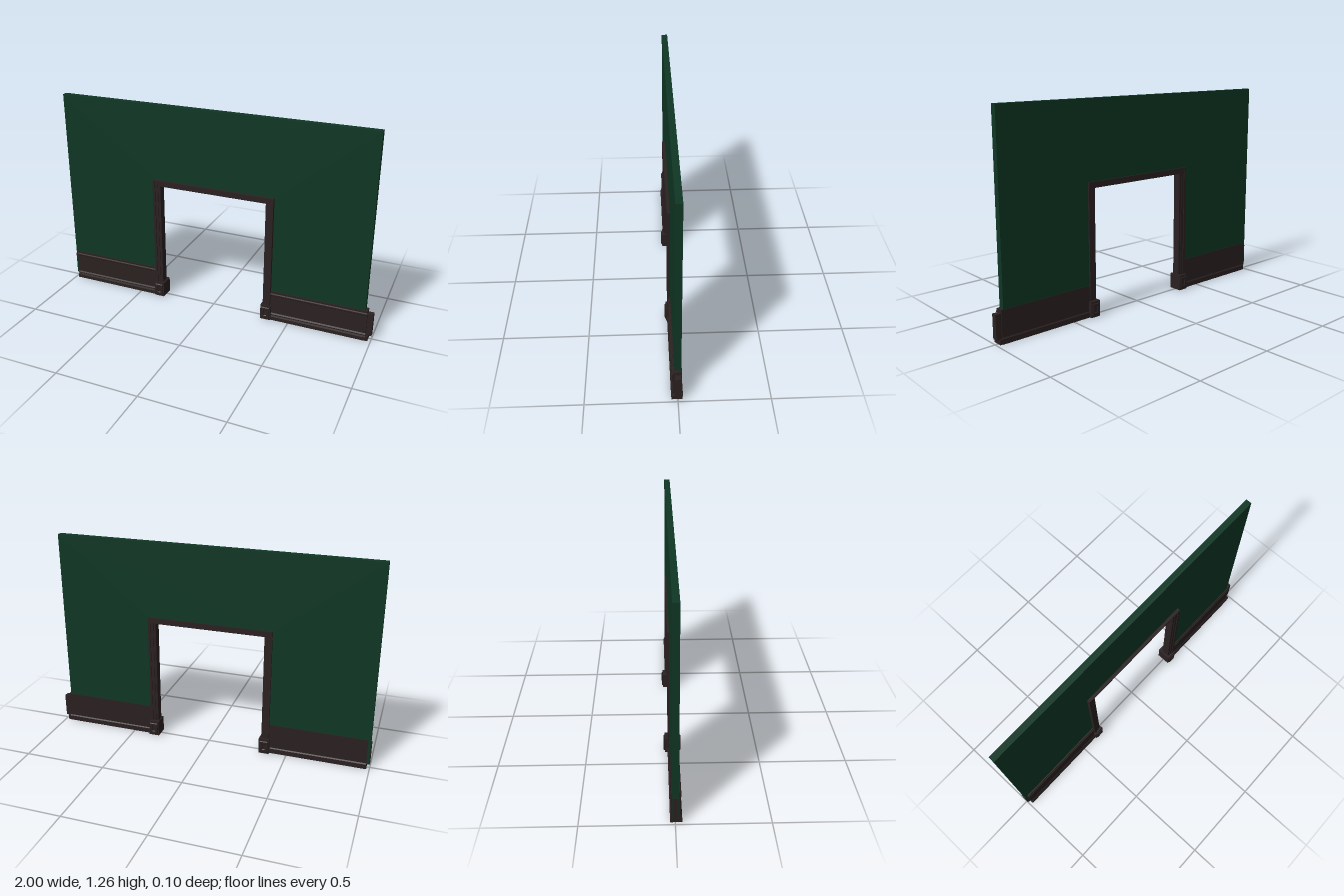
import * as THREE from 'three';

const wallPaint = new THREE.MeshStandardMaterial({ name: 'greenWallPaint', color: 0x0f3725 });
const wood = new THREE.MeshStandardMaterial({ name: 'darkWood', color: 0x2b2121 });

const CX = -0.003; // centre of the doorway

function polygon(points) {
  return new THREE.Shape(points.map(([x, y]) => new THREE.Vector2(x, y)));
}

// Extrude a front-plane shape between two depths
function slab(name, shape, z0, z1, material) {
  const geometry = new THREE.ExtrudeGeometry(shape, { depth: z1 - z0, bevelEnabled: false });
  geometry.translate(0, 0, z0);
  const mesh = new THREE.Mesh(geometry, material);
  mesh.name = name;
  return mesh;
}

function box(name, x0, x1, y0, y1, z0, z1) {
  const mesh = new THREE.Mesh(new THREE.BoxGeometry(x1 - x0, y1 - y0, z1 - z0), wood);
  mesh.position.set((x0 + x1) / 2, (y0 + y1) / 2, (z0 + z1) / 2);
  mesh.name = name;
  return mesh;
}

// Upside-down U band around the doorway
function archShape(outer, inner, topOuter, topInner, y0) {
  return polygon([
    [CX - outer, y0], [CX - inner, y0], [CX - inner, topInner], [CX + inner, topInner],
    [CX + inner, y0], [CX + outer, y0], [CX + outer, topOuter], [CX - outer, topOuter],
  ]);
}

// Moulding with a [z, y] cross-section running along x
function moulding(name, profile, x0, x1) {
  const geometry = new THREE.ExtrudeGeometry(polygon(profile.map(([z, y]) => [-z, y])),
    { depth: x1 - x0, bevelEnabled: false });
  geometry.rotateY(Math.PI / 2);
  geometry.translate(x0, 0, 0);
  const mesh = new THREE.Mesh(geometry, wood);
  mesh.name = name;
  return mesh;
}

function createPlinth(name, x) {
  const group = new THREE.Group();
  group.name = name;
  group.add(box('plinthBlock', x - 0.032, x + 0.032, 0, 0.096, -0.043, 0.043));
  // Raised bevelled frame on both faces
  const frame = polygon([[-0.022, 0.015], [0.022, 0.015], [0.022, 0.081], [-0.022, 0.081]]);
  frame.holes.push(new THREE.Path([[-0.011, 0.027], [-0.011, 0.069], [0.011, 0.069], [0.011, 0.027]]
    .map(([a, b]) => new THREE.Vector2(a, b))));
  for (const side of [1, -1]) {
    const geometry = new THREE.ExtrudeGeometry(frame, {
      depth: 0.002, bevelThickness: 0.004, bevelSize: 0.004, bevelSegments: 1,
    });
    const mesh = new THREE.Mesh(geometry, wood);
    mesh.name = 'plinthFrame';
    mesh.position.set(x, 0, side * 0.044);
    if (side < 0) mesh.rotation.y = Math.PI;
    group.add(mesh);
  }
  return group;
}

function createBaseboard(name, side) {
  const group = new THREE.Group();
  group.name = name;
  const span = (inner, outer) => [side * inner, side * outer].sort((a, b) => a - b);
  // Tongue that joins the next panel
  group.add(box('baseboardTongue', ...span(0.36, 1), 0.028, 0.17, -0.016, 0.016));
  // Stepped skirting with a foot at the bottom and a bead at the top
  group.add(moulding('skirting', [
    [-0.027, 0], [0.036, 0], [0.036, 0.022], [0.032, 0.032], [0.032, 0.038], [0.027, 0.046],
    [0.027, 0.162], [0.031, 0.166], [0.031, 0.174], [0.025, 0.178], [0.025, 0.19],
    [-0.021, 0.19], [-0.021, 0.036], [-0.027, 0.03],
  ], ...span(0.37, side > 0 ? 0.967 : 0.98)));
  group.add(box('skirtingFootEnd', ...span(0.95, 0.982), 0, 0.028, -0.024, 0.034));
  return group;
}

export function createModel() {
  const model = new THREE.Group();
  model.name = 'doorwayWall';

  // Wall panel with the door opening cut out
  model.add(slab('wallPanel', polygon([
    [-0.995, 0.03], [CX - 0.36, 0.03], [CX - 0.36, 0.775], [CX + 0.36, 0.775],
    [CX + 0.36, 0.03], [0.953, 0.03], [0.953, 1.257], [-0.995, 1.257],
  ]), -0.018, 0.018, wallPaint));

  // Door casing: stepped bands, deepest on the outside
  const casing = new THREE.Group();
  casing.name = 'doorCasing';
  const bands = [[0.386, 0.371, 0.793, 0.782, 0], [0.371, 0.353, 0.782, 0.768, 0.005], [0.353, 0.338, 0.768, 0.755, 0.009]];
  for (const [outer, inner, topOuter, topInner, inset] of bands) {
    casing.add(slab('casingBand', archShape(outer, inner, topOuter, topInner, 0.02),
      -0.028 + inset, 0.037 - inset, wood));
  }
  model.add(casing);

  model.add(createPlinth('rightPlinth', -0.363), createPlinth('leftPlinth', 0.358));
  model.add(createBaseboard('rightBaseboard', -1), createBaseboard('leftBaseboard', 1));
  return model;
}
